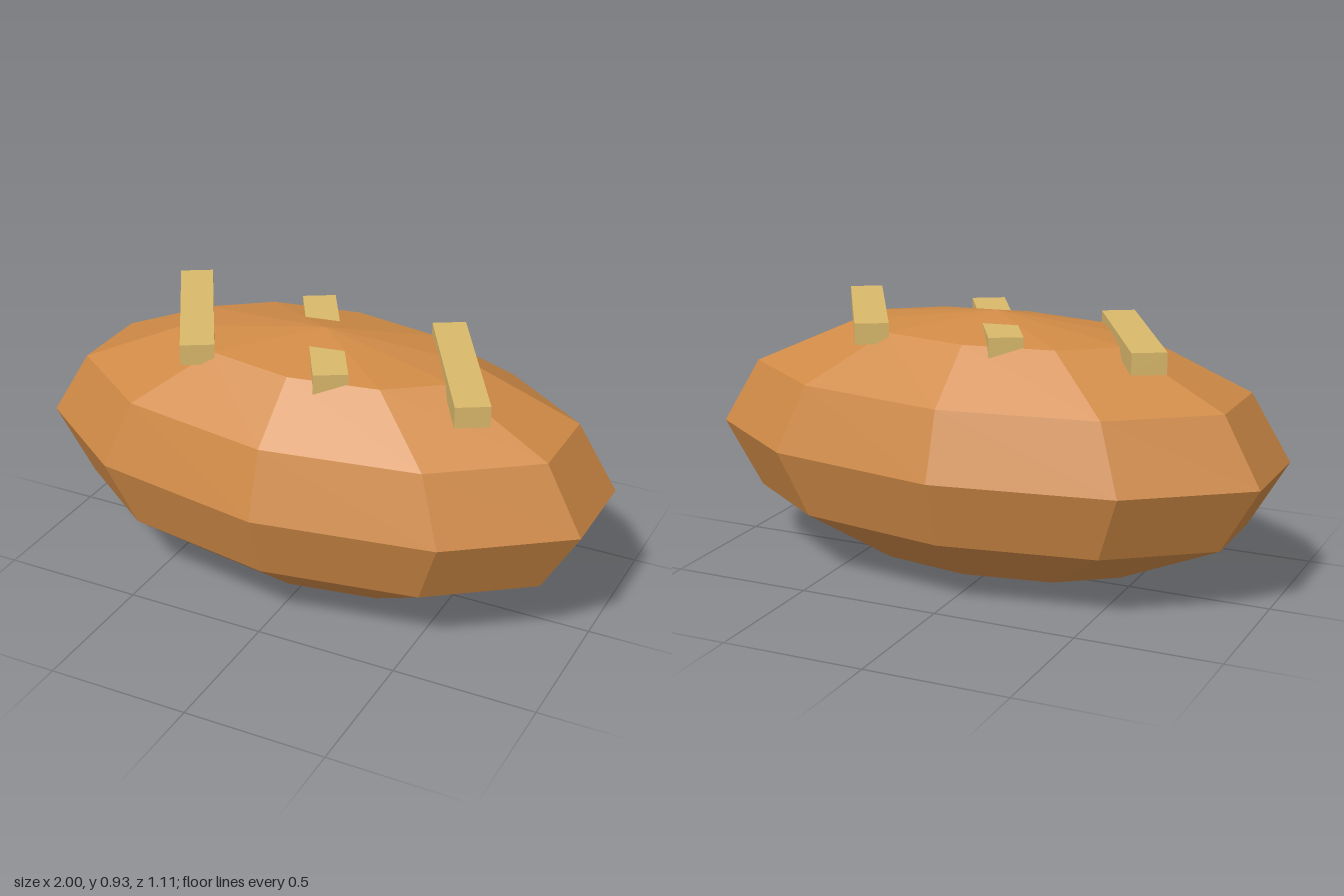
import * as THREE from 'three';

export function createModel() {
  const group = new THREE.Group();
  group.name = 'loaf';
  const crust = new THREE.MeshStandardMaterial({ color: 0xcf8a46, flatShading: true });
  crust.name = 'crust brown';
  const score = new THREE.MeshStandardMaterial({ color: 0xd9b86b, flatShading: true });
  score.name = 'score tan';

  // Loaf body: a ten-sided ball, turned so its ends are flat, then stretched
  const body = new THREE.SphereGeometry(1, 10, 6);
  body.rotateY(Math.PI / 2);
  body.scale(1.0515, 0.464, 0.555);
  body.translate(0, 0.464, 0);
  const loaf = new THREE.Mesh(body, crust);
  loaf.name = 'loafBody';
  group.add(loaf);

  // Three slanted score bars across the top
  const bar = new THREE.BoxGeometry(0.115, 0.073, 0.62);
  ['right', 'middle', 'left'].forEach((side, i) => {
    const mesh = new THREE.Mesh(bar, score);
    mesh.name = side + 'ScoreBar';
    mesh.position.set((i - 1) * 0.495, 0.867, 0);
    mesh.rotation.y = Math.PI / 6;
    group.add(mesh);
  });
  return group;
}
